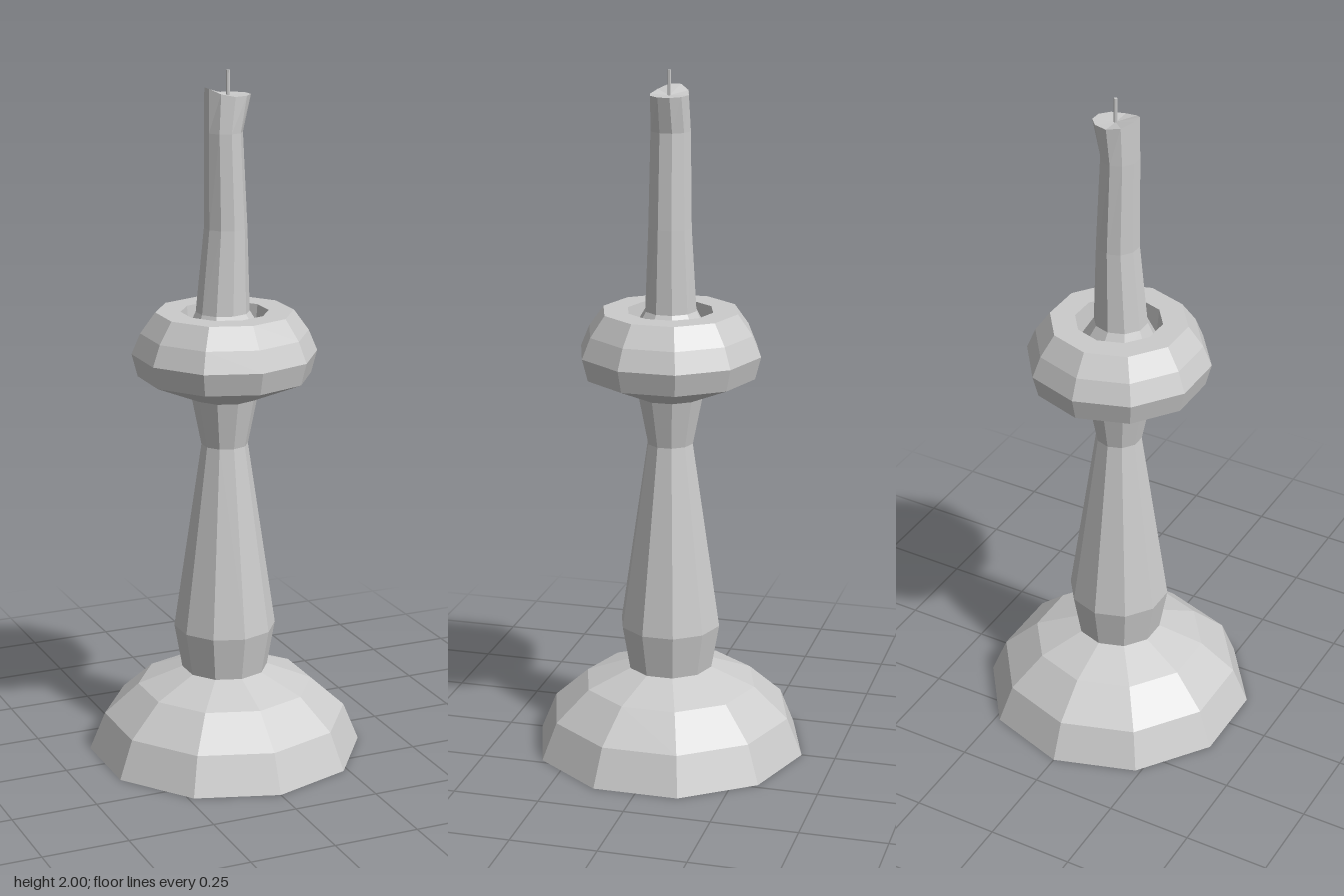
import * as THREE from 'three';

const SIDES = 10;

export function createModel() {
  const group = new THREE.Group();
  const material = new THREE.MeshStandardMaterial({ color: 0xcccccc, flatShading: true, side: THREE.DoubleSide });

  const add = (name, geometry) => {
    const mesh = new THREE.Mesh(geometry, material);
    mesh.name = name;
    group.add(mesh);
    return mesh;
  };
  // Faceted turned part from [radius, height] pairs, bottom to top
  const turned = (name, profile) =>
    add(name, new THREE.LatheGeometry(profile.map(([r, y]) => new THREE.Vector2(r, y)), SIDES));

  // Domed foot, closed underneath
  turned('base', [[0, 0], [0.4, 0], [0.355, 0.11], [0.255, 0.2], [0.125, 0.25], [0, 0.25]]);

  // Waisted stem
  turned('stem', [[0.125, 0.25], [0.148, 0.38], [0.067, 0.93], [0.095, 1.07]]);

  // Rounded cup with a well for the candle
  turned('cup', [
    [0, 1.07], [0.095, 1.07], [0.248, 1.135], [0.265, 1.2], [0.24, 1.26],
    [0.197, 1.32], [0.125, 1.32], [0.118, 1.25], [0, 1.25],
  ]);

  // Slightly bent candle: rings of [centre x, y, x radius, z radius], top to bottom
  const rings = [
    [0.01, 1.93, 0, 0],
    [0.009, 1.932, 0.066, 0.055],
    [-0.004, 1.83, 0.054, 0.058],
    [0.003, 1.56, 0.061, 0.063],
    [-0.006, 1.32, 0.077, 0.075],
    [0, 1.25, 0.115, 0.115],
  ];
  const candle = new THREE.CylinderGeometry(1, 1, 1, SIDES, rings.length - 1, true);
  const pos = candle.attributes.position;
  for (let i = 0; i < pos.count; i++) {
    const row = Math.floor(i / (SIDES + 1));
    const [cx, y, rx, rz] = rings[row];
    const x = pos.getX(i);
    // The melted rim rises towards the right-hand side
    const lift = row === 1 && x < 0 ? 0.023 * x * x : 0;
    pos.setXYZ(i, cx + x * rx, y + lift, pos.getZ(i) * rz);
  }
  candle.computeVertexNormals();
  add('candle', candle);

  // Wick
  const wick = add('wick', new THREE.CylinderGeometry(0.005, 0.005, 0.08, 6));
  wick.position.set(0.01, 1.96, 0);

  return group;
}
